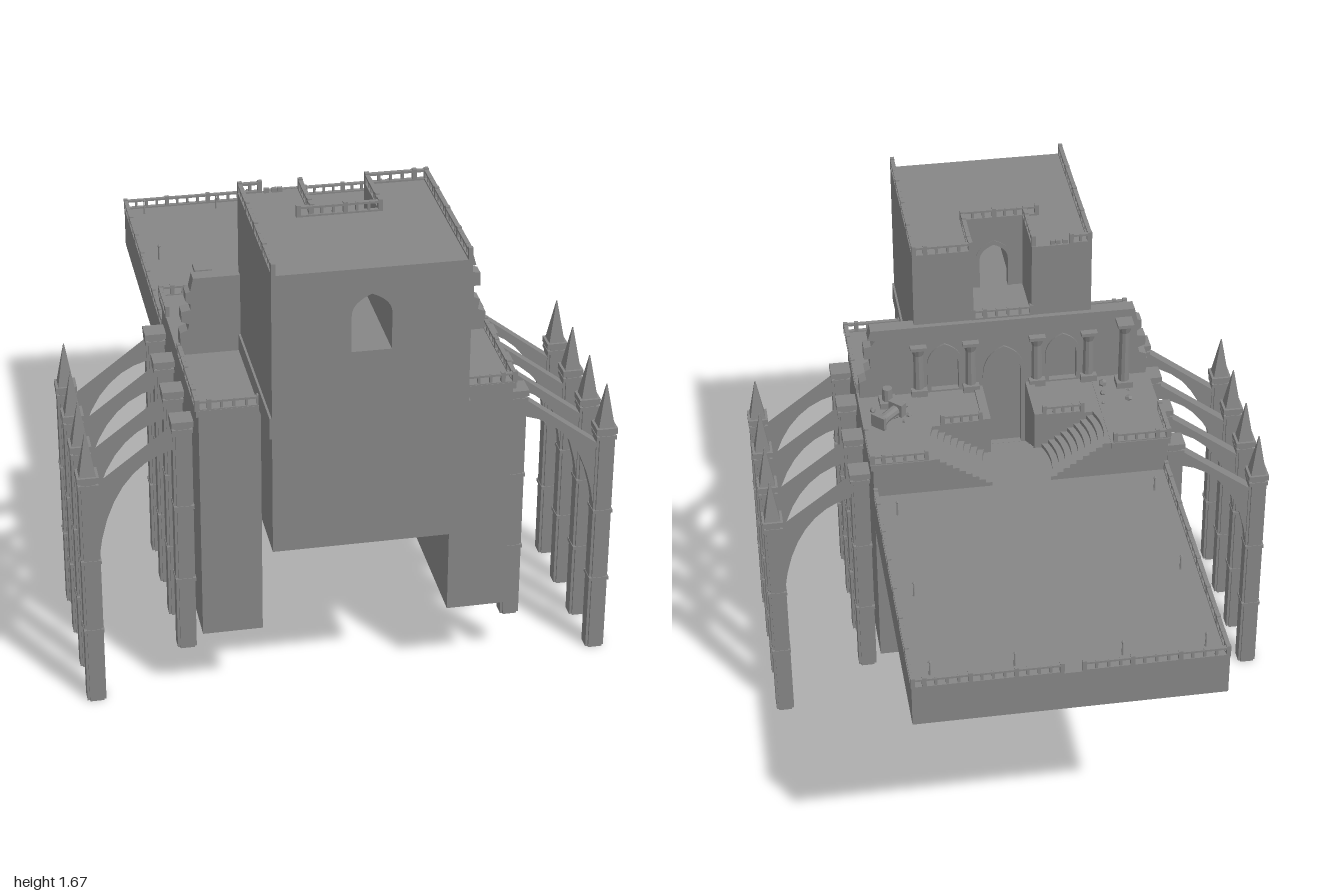
import * as THREE from 'three';

const MAT = new THREE.MeshStandardMaterial({ color: 0x868686, flatShading: true, side: THREE.DoubleSide });

function add(parent, name, geo, x = 0, y = 0, z = 0) {
  const m = new THREE.Mesh(geo, MAT);
  m.name = name;
  m.position.set(x, y, z);
  parent.add(m);
  return m;
}

// Box given by its extents
function block(parent, name, x0, x1, y0, y1, z0, z1) {
  return add(parent, name, new THREE.BoxGeometry(Math.abs(x1 - x0), y1 - y0, z1 - z0),
    (x0 + x1) / 2, (y0 + y1) / 2, (z0 + z1) / 2);
}

const polygon = pts => new THREE.Shape(pts.map(p => new THREE.Vector2(p[0], p[1])));
const extrude = (shape, depth) =>
  new THREE.ExtrudeGeometry(shape, { depth, bevelEnabled: false, curveSegments: 8 });

// Pointed arch outline
function arch(Type, cx, w, y0, ySpring, yTop) {
  const a = new Type();
  a.moveTo(cx - w, y0);
  a.lineTo(cx + w, y0);
  a.lineTo(cx + w, ySpring);
  a.quadraticCurveTo(cx + w, yTop - w * 0.4, cx, yTop);
  a.quadraticCurveTo(cx - w, yTop - w * 0.4, cx - w, ySpring);
  a.closePath();
  return a;
}

// Balustrade in plan from (x0, z0) to (x1, z1), standing at height y
function balustrade(parent, x0, z0, x1, z1, y, h = 0.035) {
  const g = new THREE.Group();
  g.name = 'balustrade';
  const len = Math.hypot(x1 - x0, z1 - z0);
  add(g, 'bottomRail', new THREE.BoxGeometry(len, 0.006, 0.014), 0, 0.003, 0);
  add(g, 'topRail', new THREE.BoxGeometry(len, 0.007, 0.014), 0, h - 0.004, 0);
  const n = Math.max(2, Math.round(len / 0.037));
  for (let i = 0; i <= n; i++) {
    const post = i % 4 === 0 || i === n;
    const w = post ? 0.014 : 0.009, t = post ? h + 0.004 : h;
    add(g, post ? 'railPost' : 'baluster', new THREE.BoxGeometry(w, t, w), -len / 2 + len * i / n, t / 2, 0);
  }
  g.position.set((x0 + x1) / 2, y, (z0 + z1) / 2);
  g.rotation.y = -Math.atan2(z1 - z0, x1 - x0);
  parent.add(g);
}

// Square pier with recessed corners, a list of bands and a stepped cap
function pier(parent, x, y0, y1, z, bands, name) {
  const a = 0.031, b = 0.023;
  const plan = polygon([[a, -b], [a, b], [b, b], [b, a], [-b, a], [-b, b], [-a, b], [-a, -b],
    [-b, -b], [-b, -a], [b, -a], [b, -b]]);
  const geo = extrude(plan, y1 - y0);
  geo.rotateX(-Math.PI / 2);
  add(parent, name, geo, x, y0, z);
  for (const y of bands) add(parent, 'pierBand', new THREE.BoxGeometry(0.066, 0.012, 0.066), x, y, z);
  add(parent, 'pierNeck', new THREE.BoxGeometry(0.066, 0.014, 0.066), x, y1 - 0.033, z);
  add(parent, 'pierCap', new THREE.BoxGeometry(0.07, 0.02, 0.07), x, y1 - 0.008, z);
}

// Outer pier, spire, flying arch and inner pier on one side
function flyingButtress(parent, s, z) {
  const g = new THREE.Group();
  g.name = 'flyingButtress';
  pier(g, s * 0.842, 0, 0.84, z, [0.27, 0.53], 'outerPier');
  const spire = new THREE.CylinderGeometry(0.002, 0.038, 0.15, 4);
  spire.rotateY(Math.PI / 4);
  add(g, 'spire', spire, s * 0.842, 0.915, z);
  pier(g, s * 0.54, 0.17, 1.01, z, [0.43, 0.7], 'innerPier');
  const web = new THREE.Shape();
  web.moveTo(s * 0.565, 0.965);
  web.lineTo(s * 0.815, 0.775);
  web.lineTo(s * 0.815, 0.53);
  web.bezierCurveTo(s * 0.79, 0.75, s * 0.7, 0.88, s * 0.565, 0.91);
  web.closePath();
  add(g, 'flyingArch', extrude(web, 0.034), 0, 0, z - 0.017);
  const coping = add(g, 'archCoping', new THREE.BoxGeometry(0.314, 0.012, 0.044), s * 0.69, 0.872, z);
  coping.rotation.z = -s * Math.atan2(0.19, 0.25);
  parent.add(g);
}

// Classical column with base and optional capital
function column(parent, x, y, z, h, whole) {
  const g = new THREE.Group();
  g.name = 'column';
  add(g, 'columnBase', new THREE.BoxGeometry(0.056, 0.025, 0.056), 0, 0.012, 0);
  add(g, 'columnShaft', new THREE.CylinderGeometry(0.017, 0.02, h, 10), 0, h / 2, 0);
  if (whole) {
    add(g, 'capital', new THREE.CylinderGeometry(0.027, 0.018, 0.03, 10), 0, h - 0.025, 0);
    add(g, 'abacus', new THREE.BoxGeometry(0.056, 0.012, 0.056), 0, h - 0.006, 0);
  }
  g.position.set(x, y, z);
  parent.add(g);
  return g;
}

export function createModel() {
  const root = new THREE.Group();
  root.name = 'ruinedCastle';

  // Tower with through window, inner window frame and rear notch
  const face = polygon([[-0.305, 0.68], [0.305, 0.68], [0.305, 1.63], [-0.305, 1.63]]);
  face.holes.push(arch(THREE.Path, 0, 0.062, 1.355, 1.475, 1.545));
  add(root, 'towerFront', extrude(face, 0.4), 0, 0, 0.6);
  const frame = arch(THREE.Shape, 0, 0.062, 1.355, 1.475, 1.545);
  frame.holes.push(arch(THREE.Path, 0, 0.049, 1.36, 1.47, 1.528));
  add(root, 'windowFrame', extrude(frame, 0.03), 0, 0, 0.598);
  block(root, 'towerBalcony', -0.1, 0.1, 0.68, 1.36, 0.4, 0.6);
  balustrade(root, -0.1, 0.405, 0.1, 0.405, 1.36);

  // Tower roof railing, broken at the rear
  const top = 1.63;
  balustrade(root, -0.298, 0.405, -0.235, 0.405, top);
  balustrade(root, 0.107, 0.405, 0.298, 0.405, top);
  balustrade(root, -0.15, 0.607, 0.107, 0.607, top);
  for (const x of [-0.215, -0.19, -0.172])
    block(root, 'brokenRail', x - 0.008, x + 0.008, top, top + 0.014, 0.405, 0.418);

  // Central base, rear substructure and raised rear terrace
  block(root, 'passageFloor', -0.305, 0.305, 0.68, 0.96, 0, 0.18);
  block(root, 'stairWellFloor', -0.1, 0.1, 0.68, 0.84, 0.18, 0.4);
  block(root, 'underPassage', -0.305, -0.1, 0.545, 0.68, 0, 0.4);
  block(root, 'rearBase', -0.305, 0.305, 0.27, 0.69, -0.21, 0);
  block(root, 'rearBaseUpper', -0.305, 0.1, 0.69, 0.815, -0.21, 0);
  block(root, 'balconyPost', 0.275, 0.3, 0.69, 0.815, -0.055, -0.02);
  balustrade(root, 0.11, -0.203, 0.298, -0.203, 0.69);
  balustrade(root, 0.298, -0.203, 0.298, -0.02, 0.69);
  block(root, 'rearTerrace', -0.5, 0.5, 0.815, 0.96, -1, 0);
  balustrade(root, -0.495, -0.993, -0.04, -0.993, 0.96);
  balustrade(root, 0.03, -0.993, 0.495, -0.993, 0.96);

  // Steps down to the central doorway
  for (let i = 0; i < 7; i++)
    block(root, 'centreStep', -0.075, 0.075, 0.84, 0.95 - i * 0.015, 0.18 + i * 0.026, 0.206 + i * 0.026);

  // Parts on both sides
  for (const s of [-1, 1]) {
    block(root, 'towerRearWing', s * 0.1, s * 0.305, 0.68, 1.63, 0.4, 0.6);
    block(root, 'towerBand', s * 0.3, s * 0.312, 1.08, 1.15, 0.4, 0.998);
    block(root, 'sideWing', s * 0.305, s * 0.5, 0.27, 1.09, -0.01, 0.8);
    block(root, 'wingCornice', s * 0.305, s * 0.508, 1.07, 1.092, -0.015, 0.806);
    block(root, 'upperTerrace', s * 0.1, s * 0.305, 0.68, 1.09, 0.18, 0.4);
    block(root, 'wellKerb', s * 0.075, s * 0.105, 0.84, 1.1, 0.18, 0.38);

    // Curved steps rising outward
    for (let i = 0; i < 9; i++) {
      const x = s * (0.1 + i * 0.022), shape = new THREE.Shape();
      shape.moveTo(s * 0.31, 0.01);
      shape.lineTo(x, 0.01);
      shape.quadraticCurveTo(x + s * 0.035, -0.085, x, -0.18);
      shape.lineTo(s * 0.31, -0.18);
      shape.closePath();
      const step = extrude(shape, 0.0145);
      step.rotateX(-Math.PI / 2);
      add(root, 'sideStep', step, 0, 0.96 + i * 0.0145, 0);
    }

    // Railings
    balustrade(root, s * 0.298, 0.405, s * 0.298, 0.995, top);
    balustrade(root, s * 0.107, 0.41, s * 0.107, 0.6, top);
    balustrade(root, s * 0.31, 0.798, s * 0.505, 0.798, 1.09);
    balustrade(root, s * 0.503, 0.42, s * 0.503, 0.798, 1.09);
    balustrade(root, s * 0.503, -0.005, s * 0.503, 0.15, 1.09);
    balustrade(root, s * 0.32, -0.005, s * 0.5, -0.005, 1.09);
    balustrade(root, s * 0.11, 0.187, s * 0.24, 0.187, 1.09);
    balustrade(root, s * 0.495, -0.993, s * 0.495, -0.02, 0.96);

    // Small finials on the rear terrace
    for (const [x, z] of [[0.435, -0.94], [0.17, -0.94], [0.435, -0.55], [0.435, -0.12]]) {
      add(root, 'finialStem', new THREE.CylinderGeometry(0.002, 0.004, 0.05, 6), s * x, 0.985, z);
      add(root, 'finialHead', new THREE.OctahedronGeometry(0.007), s * x, 1.012, z);
    }
    for (const z of [0.085, 0.285, 0.49, 0.69]) flyingButtress(root, s, z);

    // Attached columns between the arches
    for (const x of [0.115, 0.295]) column(root, s * x, 1.09, 0.385, 0.2, true);
  }

  // Arcaded wall with broken ends
  const wall = polygon([[-0.5, 1.09], [-0.1, 1.09], [-0.1, 0.84], [0.1, 0.84], [0.1, 1.09], [0.5, 1.09],
    [0.5, 1.155], [0.475, 1.165], [0.48, 1.2], [0.46, 1.21], [0.46, 1.25], [0.48, 1.25], [0.48, 1.295],
    [0.455, 1.3], [0.44, 1.32], [0.465, 1.325], [0.455, 1.36], [-0.455, 1.36], [-0.465, 1.315],
    [-0.48, 1.31], [-0.48, 1.28], [-0.465, 1.27], [-0.465, 1.25], [-0.495, 1.245], [-0.495, 1.21],
    [-0.47, 1.2], [-0.475, 1.18], [-0.5, 1.17]]);
  for (const [cx, w, y0, ys, yt] of [[0, 0.06, 0.85, 1.14, 1.24], [0.205, 0.048, 1.1, 1.2, 1.27],
    [-0.205, 0.048, 1.1, 1.2, 1.27]]) {
    wall.holes.push(arch(THREE.Path, cx, w, y0, ys, yt));
    const trim = arch(THREE.Shape, cx, w + 0.013, y0, ys, yt + 0.018);
    trim.holes.push(arch(THREE.Path, cx, w, y0 + 0.001, ys, yt));
    add(root, 'archTrim', extrude(trim, 0.01), 0, 0, 0.375);
  }
  add(root, 'arcadeWall', extrude(wall, 0.048), 0, 0, 0.382);

  // Standing, broken and fallen columns
  column(root, -0.41, 1.09, 0.325, 0.26, true);
  column(root, 0.41, 1.09, 0.33, 0.07, false);
  const fallen = column(root, 0.375, 1.112, 0.28, 0.12, true);
  fallen.rotation.set(0, Math.PI / 4, -Math.PI / 2, 'YXZ');

  // Scattered rubble
  for (let i = 0; i < 16; i++) {
    const r = 0.006 + (i * 7 % 5) * 0.0022, s = i % 3 ? 1 : -1;
    const stone = add(root, 'rubble', new THREE.DodecahedronGeometry(r),
      s * (0.32 + (i * 37 % 17) / 110), 1.09 + r * 0.6, 0.22 + (i * 29 % 13) / 90);
    stone.rotation.set(i, i * 2, 0);
  }
  return root;
}
